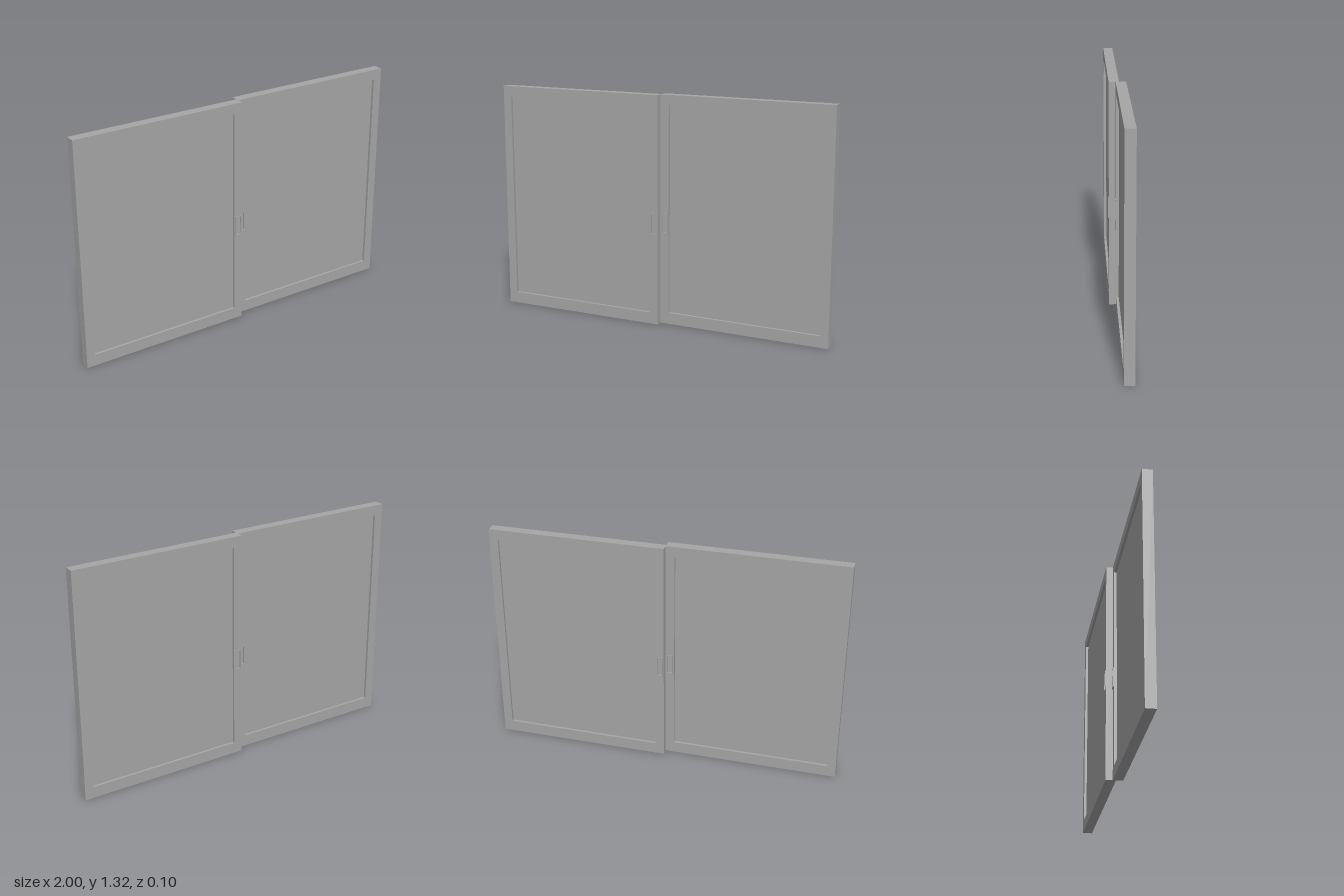
import * as THREE from 'three';

const HEIGHT = 1.315, DEPTH = 0.057, PANE_DEPTH = 0.027;
const HANDLE = { x: 0.024, y: 0.59, w: 0.037, h: 0.118, rim: 0.004, lip: 0.005, sink: 0.005 };

// Rectangle outline, usable as a shape or as a hole
function rect(Type, x0, y0, x1, y1) {
  const p = new Type();
  p.moveTo(x0, y0);
  p.lineTo(x1, y0);
  p.lineTo(x1, y1);
  p.lineTo(x0, y1);
  p.closePath();
  return p;
}

function centred(Type, w, h) {
  return rect(Type, HANDLE.x - w / 2, HANDLE.y - h / 2, HANDLE.x + w / 2, HANDLE.y + h / 2);
}

// Extrusion between two z positions
function slab(shape, z0, z1, material, name) {
  const geometry = new THREE.ExtrudeGeometry(shape, { depth: z1 - z0, bevelEnabled: false });
  geometry.translate(0, 0, z0);
  const mesh = new THREE.Mesh(geometry, material);
  mesh.name = name;
  return mesh;
}

// One sliding panel spanning x 0..1, centred on z = 0
function createPanel(material) {
  const panel = new THREE.Group();
  const innerW = HANDLE.w - 2 * HANDLE.lip, innerH = HANDLE.h - 2 * HANDLE.lip;

  // Frame with the pane opening and a slot for the finger pulls
  const frame = rect(THREE.Shape, 0, 0, 1, HEIGHT);
  frame.holes.push(rect(THREE.Path, 0.05, 0.066, 0.95, 1.256), centred(THREE.Path, innerW, innerH));
  panel.add(slab(frame, -DEPTH / 2, DEPTH / 2, material, 'frame'));

  // Recessed pane
  panel.add(slab(rect(THREE.Shape, 0.05, 0.066, 0.95, 1.256),
    -PANE_DEPTH / 2, PANE_DEPTH / 2, material, 'pane'));

  // Floor shared by the two finger pulls
  const floorZ = DEPTH / 2 - HANDLE.sink;
  panel.add(slab(centred(THREE.Shape, innerW, innerH), -floorZ, floorZ, material, 'handleRecess'));

  // Raised rims on both faces
  for (const side of [1, -1]) {
    const rim = centred(THREE.Shape, HANDLE.w, HANDLE.h);
    rim.holes.push(centred(THREE.Path, innerW, innerH));
    const z = side * DEPTH / 2;
    panel.add(slab(rim, Math.min(z, z + side * HANDLE.rim), Math.max(z, z + side * HANDLE.rim),
      material, 'handleRim'));
  }
  return panel;
}

export function createModel() {
  const model = new THREE.Group();
  model.name = 'slidingWindow';
  const grey = new THREE.MeshStandardMaterial({ color: 0xa6a6a6 });
  grey.name = 'grey';

  // Two panels on neighbouring tracks, each the other turned half round
  const left = createPanel(grey);
  left.name = 'leftPanel';
  left.position.z = -0.0195;
  const right = createPanel(grey);
  right.name = 'rightPanel';
  right.rotation.y = Math.PI;
  right.position.z = 0.0195;
  model.add(left, right);
  return model;
}
